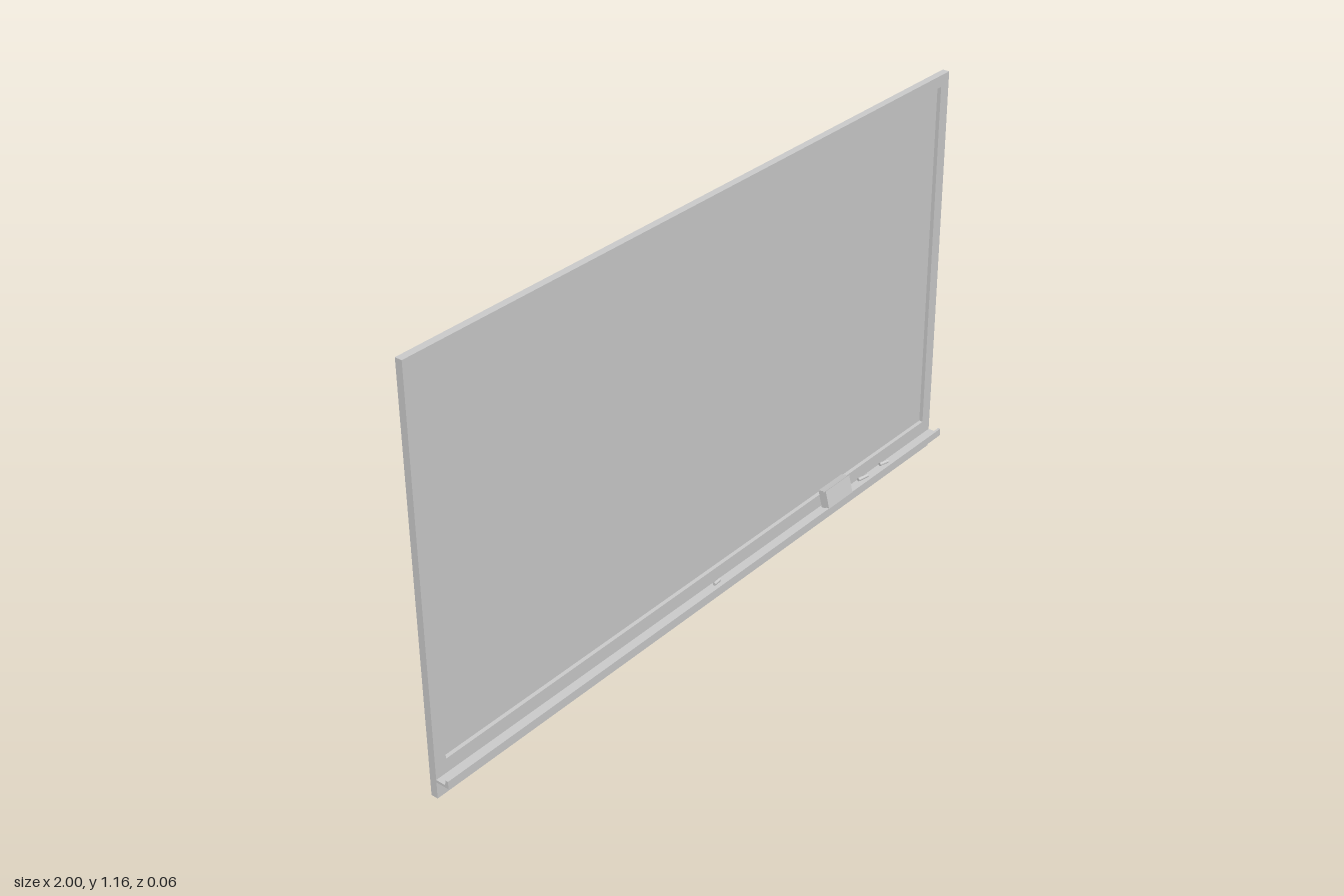
import * as THREE from 'three';

const material = new THREE.MeshStandardMaterial({ color: 0xcccccc, flatShading: true });

// Box given by its limits on each axis
function block(name, x0, x1, y0, y1, z0, z1) {
  const mesh = new THREE.Mesh(new THREE.BoxGeometry(x1 - x0, y1 - y0, z1 - z0), material);
  mesh.position.set((x0 + x1) / 2, (y0 + y1) / 2, (z0 + z1) / 2);
  mesh.name = name;
  return mesh;
}

// Rectangular ring of the given outer and inner limits, spanning z0 to z1
function ring(name, [ox, oy0, oy1], [ix, iy0, iy1], z0, z1) {
  const rect = (path, x, y0, y1) =>
    path.moveTo(-x, y0).lineTo(x, y0).lineTo(x, y1).lineTo(-x, y1).closePath();
  const shape = rect(new THREE.Shape(), ox, oy0, oy1);
  shape.holes.push(rect(new THREE.Path(), ix, iy0, iy1));
  const geometry = new THREE.ExtrudeGeometry(shape, { depth: z1 - z0, bevelEnabled: false });
  geometry.translate(0, 0, z0);
  const mesh = new THREE.Mesh(geometry, material);
  mesh.name = name;
  return mesh;
}

// Extrudes a [z, y] profile along x, centred on x = 0
function bar(name, profile, length) {
  const shape = new THREE.Shape(profile.map(([z, y]) => new THREE.Vector2(-z, y)));
  const geometry = new THREE.ExtrudeGeometry(shape, { depth: length, bevelEnabled: false });
  geometry.translate(0, 0, -length / 2).rotateY(Math.PI / 2);
  const mesh = new THREE.Mesh(geometry, material);
  mesh.name = name;
  return mesh;
}

export function createModel() {
  const model = new THREE.Group();
  model.name = 'wallBoard';
  const H = 1.157;

  // Frame: face plate, outer rim and inner return, hollow at the back
  const frame = new THREE.Group();
  frame.name = 'frame';
  frame.add(
    ring('facePlate', [1, 0, H], [0.965, 0.095, 1.124], -0.014, -0.01),
    ring('outerRim', [1, 0, H], [0.994, 0.006, H - 0.006], -0.03, -0.014),
    ring('innerReturn', [0.969, 0.091, 1.128], [0.965, 0.095, 1.124], -0.027, -0.014),
    block('backRail', -0.994, 0.994, 0.05, 0.058, -0.03, -0.014)
  );
  model.add(frame);

  // Writing surface, set back behind the face plate
  model.add(block('writingSurface', -0.965, 0.965, 0.095, 1.124, -0.027, -0.021));

  // Tray: floor with a raised front lip
  model.add(bar('tray', [
    [-0.01, 0.048], [0.029, 0.048], [0.029, 0.07], [0.022, 0.07],
    [0.018, 0.055], [-0.01, 0.055],
  ], 2));

  // Eraser: felt pad and grooved handle, leaning back against the frame
  const eraser = new THREE.Group();
  eraser.name = 'eraser';
  eraser.add(
    bar('eraserFelt', [[-0.013, -0.026], [0.003, -0.026], [0.003, 0.026], [-0.013, 0.026]], 0.106),
    bar('eraserHandle', [
      [0.003, -0.026], [0.013, -0.026], [0.013, 0.026], [0.009, 0.025], [0.006, 0.022], [0.003, 0.022],
    ], 0.108)
  );
  eraser.position.set(0.515, 0.091, 0.0105);
  eraser.rotation.x = -0.25;
  model.add(eraser);

  // Chalk sticks lying on the tray
  for (const [x, length, turn] of [[0.012, 0.026, -0.12], [0.66, 0.036, 0.18], [0.76, 0.03, 0.25]]) {
    const chalk = new THREE.Mesh(new THREE.CylinderGeometry(0.005, 0.005, length, 10), material);
    chalk.geometry.rotateZ(Math.PI / 2);
    chalk.rotation.y = -turn;
    chalk.position.set(x, 0.06, 0);
    chalk.name = 'chalk';
    model.add(chalk);
  }
  return model;
}
